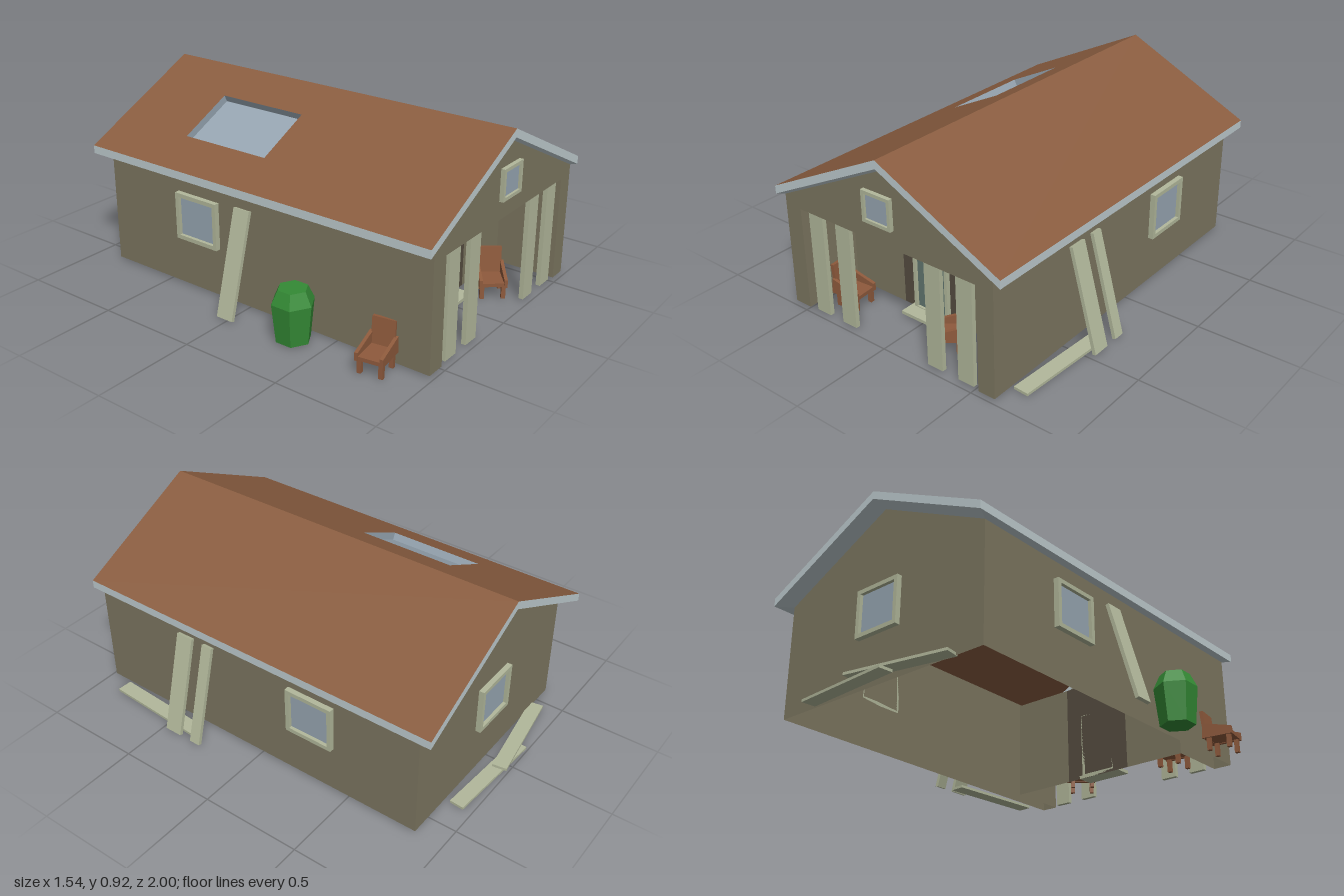
import * as THREE from 'three';

const mat = (name, color, side = THREE.FrontSide) => {
  const m = new THREE.MeshStandardMaterial({ color, side });
  m.name = name;
  return m;
};

export function createModel() {
  const house = new THREE.Group();
  house.name = 'house';
  const D = THREE.DoubleSide;
  const wall = mat('olive wall', 0x7c7660, D);
  const shade = mat('dark entry wall', 0x554c40, D);
  const trim = mat('sage trim', 0xb2b89b);
  const roofMat = mat('brown roof', 0x8a5d40, D);
  const edgeMat = mat('pale roof edge', 0xbfcccf, D);
  const glass = mat('window glass', 0x97a6b2, D);
  const doorGlass = mat('door glass', 0x627770, D);
  const wood = mat('chair wood', 0x8e5a3c);
  const leaf = mat('bush green', 0x348a35);
  leaf.flatShading = true;

  const add = (name, geo, m, parent = house) => {
    const mesh = new THREE.Mesh(geo, m);
    mesh.name = name;
    parent.add(mesh);
    return mesh;
  };
  const box = (name, m, size, pos, rot = [0, 0, 0], parent = house) => {
    const b = add(name, new THREE.BoxGeometry(...size), m, parent);
    b.position.set(...pos);
    b.rotation.set(...rot);
    return b;
  };
  // Flat four-cornered sheet
  const quad = (name, m, a, b, c, d, parent = house) => {
    const g = new THREE.BufferGeometry();
    g.setAttribute('position', new THREE.Float32BufferAttribute([a, b, c, a, c, d].flat(), 3));
    g.computeVertexNormals();
    return add(name, g, m, parent);
  };
  const polygon = (pts) => new THREE.Shape(pts.map(([x, y]) => new THREE.Vector2(x, y)));
  const rect = (x0, y0, x1, y1) => polygon([[x0, y0], [x1, y0], [x1, y1], [x0, y1]]);

  // Main dimensions
  const cx = 0.012, halfWall = 0.6, halfRoof = 0.648, y0 = 0.01;
  const zFront = 0.98, zBack = -0.86, roofFront = 0.995, roofBack = -0.94;
  const porchL = -0.495, porchR = 0.525, porchTop = 0.525, porchZ = 0.67;
  const top = (d) => 0.922 - 0.49 * d;      // roof height at distance d from the ridge
  const under = (d) => top(d) - 0.04;
  const xl = cx - halfWall, xr = cx + halfWall;

  // Gable walls and side walls
  const gableTop = [[xr, under(halfWall)], [cx, under(0)], [xl, under(halfWall)]];
  add('backWall', new THREE.ShapeGeometry(polygon([[xl, y0], [xr, y0], ...gableTop])), wall).position.z = zBack;
  add('frontWall', new THREE.ShapeGeometry(polygon([
    [xl, y0], [porchL, y0], [porchL, porchTop], [porchR, porchTop], [porchR, y0], [xr, y0], ...gableTop,
  ])), wall).position.z = zFront;
  for (const x of [xl, xr]) {
    const h = under(halfWall);
    quad('sideWall', wall, [x, y0, zFront], [x, y0, zBack], [x, h, zBack], [x, h, zFront]);
  }

  // Recessed porch
  for (const x of [porchL, porchR])
    quad('porchSide', wall, [x, y0, porchZ], [x, y0, zFront], [x, porchTop, zFront], [x, porchTop, porchZ]);
  quad('porchCeiling', wall, [porchL, porchTop, porchZ], [porchR, porchTop, porchZ],
    [porchR, porchTop, zFront], [porchL, porchTop, zFront]);
  for (const [a, b, m] of [[porchL, -0.18, wall], [-0.18, 0.19, shade], [0.19, porchR, wall]])
    add('porchBackWall', new THREE.ShapeGeometry(rect(a, y0, b, porchTop)), m).position.z = porchZ;
  for (const x of [-0.41, -0.243, 0.278, 0.45])
    box('porchPost', trim, [0.085, porchTop - y0, 0.022], [x, (porchTop + y0) / 2, 0.96]);

  // Roof slopes; the right-hand one has a skylight opening
  const zs0 = -0.49, zs1 = -0.01, ds0 = 0.19, ds1 = 0.46;
  const tilt = Math.hypot(1, 0.49), nx = 0.49 / tilt, ny = 1 / tilt, well = 0.036;
  for (const s of [-1, 1]) {
    const P = (d, z, f = top) => [cx + s * d, f(d), z];
    const low = (d) => under(d) - 0.015;
    const slope = (d0, d1, za, zb) => quad('roofSlope', roofMat,
      ...(s > 0 ? [P(d0, za), P(d0, zb), P(d1, zb), P(d1, za)] : [P(d0, za), P(d1, za), P(d1, zb), P(d0, zb)]));
    if (s > 0) slope(0, halfRoof, roofBack, roofFront);
    else {
      slope(0, ds0, roofBack, roofFront);
      slope(ds1, halfRoof, roofBack, roofFront);
      slope(ds0, ds1, roofBack, zs0);
      slope(ds0, ds1, zs1, roofFront);
    }
    // Eave edge and soffit
    quad('eaveEdge', edgeMat, P(halfRoof, roofBack), P(halfRoof, roofFront),
      P(halfRoof, roofFront, under), P(halfRoof, roofBack, under));
    quad('eaveSoffit', edgeMat, P(halfRoof, roofBack, under), P(halfRoof, roofFront, under),
      P(halfWall, zFront, low), P(halfWall, zBack, low));
    // Gable edges and soffits
    for (const [zr, zw] of [[roofFront, zFront], [roofBack, zBack]]) {
      quad('gableEdge', edgeMat, P(0, zr), P(halfRoof, zr), P(halfRoof, zr, under), P(0, zr, under));
      quad('gableSoffit', edgeMat, P(0, zr, under), P(halfRoof, zr, under), P(halfWall, zw, low), P(0, zw, low));
    }
  }

  // Skylight: sunken sides and a pane
  const skylight = new THREE.Group();
  skylight.name = 'skylight';
  house.add(skylight);
  const rim = [[ds0, zs0], [ds0, zs1], [ds1, zs1], [ds1, zs0]].map(([d, z]) => [cx - d, top(d), z]);
  const sunk = rim.map(([x, y, z]) => [x + nx * well, y - ny * well, z]);
  for (let i = 0; i < 4; i++) {
    const j = (i + 1) % 4;
    quad('skylightSide', glass, rim[i], rim[j], sunk[j], sunk[i], skylight);
  }
  quad('skylightPane', glass, sunk[0], sunk[3], sunk[2], sunk[1], skylight);

  // Framed opening facing +z, centred on its own origin
  const framed = (name, w, h, border, depth, pane) => {
    const g = new THREE.Group();
    g.name = name;
    const s = rect(-w / 2, -h / 2, w / 2, h / 2);
    s.holes.push(rect(-w / 2 + border, -h / 2 + border, w / 2 - border, h / 2 - border));
    add('frame', new THREE.ExtrudeGeometry(s, { depth, bevelEnabled: false }), trim, g);
    box('pane', pane, [w - 2 * border, h - 2 * border, 0.008], [0, 0, 0.005], [0, 0, 0], g);
    house.add(g);
    return g;
  };
  framed('gableWindow', 0.162, 0.15, 0.016, 0.02, glass).position.set(0.003, 0.69, zFront);
  for (const [x, z, ry] of [[xr, -0.295, Math.PI / 2], [xl, -0.295, -Math.PI / 2], [cx, zBack, Math.PI]]) {
    const w = framed('window', 0.25, 0.232, 0.02, 0.026, glass);
    w.position.set(x, 0.366, z);
    w.rotation.y = ry;
  }

  // Entry door and step
  framed('door', 0.203, 0.34, 0.016, 0.022, doorGlass).position.set(0, 0.185, porchZ);
  box('doorStep', trim, [0.24, 0.016, 0.09], [0, 0.019, porchZ + 0.045]);

  // Loose planks: leaning on the sides, and lying on the ground
  const lean = 0.27;
  box('leaningPlank', trim, [0.018, 0.51, 0.09], [0.69, 0.253, 0.432], [0, 0, lean]);
  box('leaningPlank', trim, [0.018, 0.51, 0.057], [0.69, 0.253, 0.295], [0, 0, lean]);
  box('leaningPlank', trim, [0.018, 0.51, 0.09], [-0.672, 0.253, -0.01], [0, 0, -lean]);
  box('groundPlank', trim, [0.075, 0.013, 0.52], [0.677, 0.0075, 0.612], [0, -0.06, 0]);
  box('groundPlank', trim, [0.52, 0.013, 0.07], [0.11, 0.0075, -0.938], [0, -0.068, 0]);
  box('groundPlank', trim, [0.52, 0.013, 0.07], [-0.19, 0.023, -0.923], [0, 0.16, 0.025]);

  // Six-sided bush
  const bushProfile = [[0, 0], [0.082, 0], [0.101, 0.185], [0.07, 0.25], [0, 0.25]];
  add('bush', new THREE.LatheGeometry(bushProfile.map((p) => new THREE.Vector2(...p)), 6), leaf)
    .position.set(-0.688, 0.008, 0.343);

  // Armchairs
  const chair = (x, z, ry) => {
    const g = new THREE.Group();
    g.name = 'chair';
    for (const sx of [-1, 1]) {
      for (const lz of [-0.045, 0.055])
        box('leg', wood, [0.02, 0.07, 0.02], [sx * 0.05, 0.035, lz], [0, 0, 0], g);
      const arm = new THREE.ExtrudeGeometry(
        polygon([[-0.075, 0.062], [0.075, 0.062], [0.075, 0.1], [-0.07, 0.138]]),
        { depth: 0.016, bevelEnabled: false });
      arm.rotateY(-Math.PI / 2);
      add('armrest', arm, wood, g).position.x = sx * 0.058 + 0.008;
    }
    box('seat', wood, [0.11, 0.018, 0.14], [0, 0.074, 0.003], [0, 0, 0], g);
    box('backrest', wood, [0.11, 0.145, 0.018], [0, 0.134, -0.068], [-0.1, 0, 0], g);
    g.position.set(x, 0.005, z);
    g.rotation.y = ry;
    house.add(g);
  };
  chair(-0.668, 0.77, -1.42);
  chair(-0.365, 0.82, 1.65);
  chair(0.215, 0.81, -0.9);

  return house;
}
